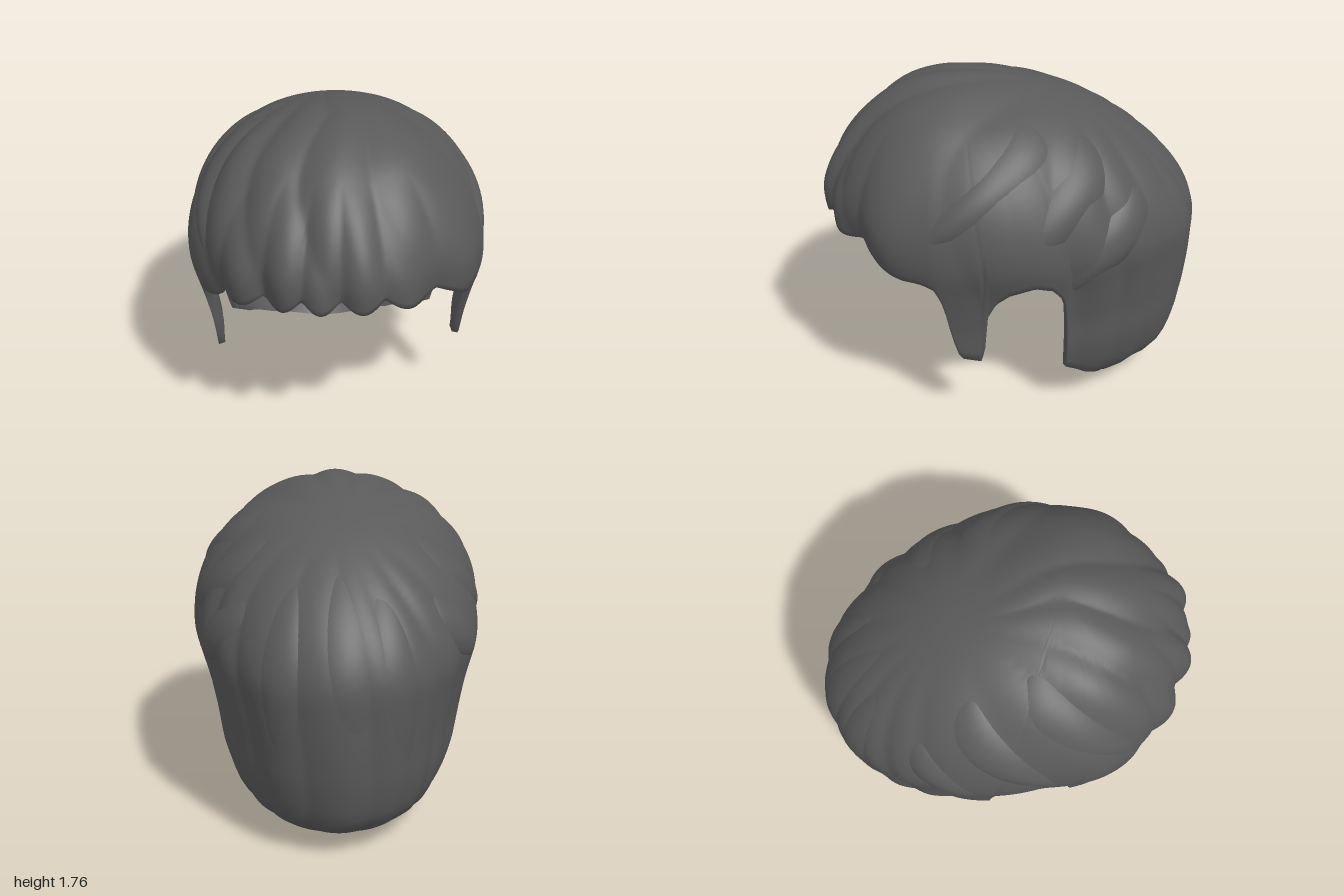
import * as THREE from 'three';
import { mergeVertices } from 'three/addons/utils/BufferGeometryUtils.js';

const TOP = 1.757, COLS = 320, ROWS = 54;

// Smooth interpolation through knots [key, value...] in column c
function curve(knots, u, c) {
  let i = 0;
  while (i < knots.length - 2 && u > knots[i + 1][0]) i++;
  const k = (n) => knots[Math.min(Math.max(n, 0), knots.length - 1)];
  const slope = (n) => (k(n + 1)[c] - k(n - 1)[c]) / (k(n + 1)[0] - k(n - 1)[0]);
  const h = k(i + 1)[0] - k(i)[0], t = Math.min((u - k(i)[0]) / h, 1);
  const a = t * t * (3 - 2 * t), b = t * (1 - t) * (1 - t), d = t * t * (t - 1);
  return k(i)[c] * (1 - a) + k(i + 1)[c] * a + h * (b * slope(i) + d * slope(i + 1));
}

// Head shape: height, front reach, back reach, half width
const RINGS = [
  [1.757, 0.26, 0.26, 0], [1.7, 0.53, -0.1, 0.27], [1.6, 0.7, -0.38, 0.475],
  [1.4, 0.885, -0.7, 0.66], [1.2, 0.98, -0.885, 0.75], [1.0, 1.0, -0.98, 0.77],
  [0.8, 0.99, -0.99, 0.72], [0.6, 0.98, -0.98, 0.675], [0.4, 0.95, -0.95, 0.65],
  [0.2, 0.88, -0.88, 0.58], [0.1, 0.75, -0.75, 0.5], [0, 0.58, -0.58, 0.4],
].map(([y, f, b, w]) => [Math.sqrt(TOP - y), f, b, w]);

// Hem height by depth: fringe, sideburn, ear opening, nape
const HEM = [
  [1, 1.06], [0.75, 1.0], [0.6, 0.92], [0.45, 0.88], [0.41, 0.77], [0.37, 0.55],
  [0.34, 0.43], [0.22, 0.4], [0.2, 0.68], [0.15, 0.79], [0.08, 0.85], [-0.05, 0.89],
  [-0.14, 0.86], [-0.2, 0.78], [-0.23, 0.68], [-0.24, 0.3], [-0.4, 0.2], [-0.65, 0.1], [-1, 0],
];

const clamp = (x) => Math.min(1, Math.max(0, x));
const fringe = (a) => clamp((Math.cos(a) - 0.45) * 5);

function hem(a) {
  const z = Math.cos(a);
  let i = 0;
  while (i < HEM.length - 2 && z < HEM[i + 1][0]) i++;
  const [z0, y0] = HEM[i], [z1, y1] = HEM[i + 1];
  const y = y0 + (y1 - y0) * (z - z0) / (z1 - z0);
  return y + 0.07 * (0.6 - strand(a, 9)) * fringe(a);
}

// Rounded, uneven strands with valleys between them
function strand(b, n) {
  const s = Math.sin(n * b + 0.9 * Math.sin(3 * b + 1) + 0.7 * Math.sin(2 * b));
  return Math.sqrt(s * s + 0.01);
}

// Point on the head at angle a and drop u, moved outward by lift
function surface(a, u, lift) {
  const f = curve(RINGS, u, 1), b = curve(RINGS, u, 2), w = curve(RINGS, u, 3);
  const c = Math.cos(a), s = Math.sin(a);
  const fuller = 1 + (c > 0 ? 0.18 : 0.07) * c * s * s;   // widest ahead of the middle
  const p = new THREE.Vector3(w * s * fuller, TOP - u * u, (f + b) / 2 + (f - b) / 2 * c);
  const out = new THREE.Vector3(p.x, Math.max(0, p.y - 0.8), p.z).normalize();
  return p.addScaledVector(out, lift);
}

// Strand relief: waves from the whorl, tufts at the fringe
function relief(a, u, s) {
  const p = surface(a, u, 0);
  const r = Math.hypot(p.x, p.z + 0.3);
  const around = Math.atan2(p.x, p.z + 0.3) + 0.15 * Math.sin(4 * u);
  const waves = 0.03 * clamp((r - 0.2) / 0.7) * (strand(around, 7) - 0.66);
  const tufts = 0.035 * clamp((s - 0.5) * 2.5) * fringe(a) * (strand(a, 9) - 0.66);
  return waves + tufts;
}

// Triangles over a grid of points
function gridGeometry(cols, rows, at) {
  const pos = [], idx = [];
  for (let i = 0; i <= cols; i++)
    for (let j = 0; j <= rows; j++) {
      const p = at(i, j);
      pos.push(p.x, p.y, p.z);
      if (i < cols && j < rows) {
        const n = i * (rows + 1) + j, m = n + rows + 1;
        idx.push(n, n + 1, m, m, n + 1, m + 1);
      }
    }
  const g = new THREE.BufferGeometry();
  g.setAttribute('position', new THREE.Float32BufferAttribute(pos, 3));
  g.setIndex(idx);
  const merged = mergeVertices(g, 1e-5);
  merged.computeVertexNormals();
  return merged;
}

// Tapered lock lying on the head, from (a0, y0) to (a1, y1)
function lockGeometry(a0, y0, a1, y1, width, height) {
  const u0 = Math.sqrt(TOP - y0), u1 = Math.sqrt(TOP - y1);
  return gridGeometry(14, 30, (i, j) => {
    const t = j / 30, v = i / 7 - 1;
    const u = u0 + (u1 - u0) * t;
    const taper = Math.pow(Math.max(0, Math.sin(Math.PI * t)), 0.75);
    const a = a0 + (a1 - a0) * Math.pow(t, 1.3) + v * width * taper / Math.max(0.35, curve(RINGS, u, 3));
    return surface(a, u, -0.02 + (height + 0.02) * (1 - v * v) * taper);
  });
}

export function createModel() {
  const group = new THREE.Group();
  group.name = 'hair';
  const material = new THREE.MeshStandardMaterial({ color: 0x5a5a5a, side: THREE.DoubleSide });
  const add = (geometry, name) => {
    const mesh = new THREE.Mesh(geometry, material);
    mesh.name = name;
    group.add(mesh);
  };

  // Hollow shell: outer strands down to the hem, smooth lining back up
  add(gridGeometry(COLS, 2 * ROWS + 1, (i, j) => {
    const a = (i % COLS) / COLS * Math.PI * 2;
    const outer = j <= ROWS;
    const s = (outer ? j : 2 * ROWS + 1 - j) / ROWS;
    const u = s * Math.sqrt(TOP - hem(a));
    const edge = Math.pow(clamp((s - 0.86) / 0.14), 2);
    const curl = -0.02 * edge * fringe(a);
    return surface(a, u, outer ? relief(a, u, s) + curl : -0.055 + 0.025 * edge * (1 - fringe(a)));
  }), 'hairShell');

  // Locks: start angle, start height, end angle, end height, half width, height
  const locks = {
    sideLock: [
      [2.1, 1.69, 1.0, 1.1, 0.17, 0.016], [2.4, 1.6, 1.5, 1.0, 0.16, 0.016],
      [-1.9, 1.69, -1.0, 1.1, 0.17, 0.016], [-2.35, 1.6, -1.45, 1.0, 0.16, 0.018],
      [-2.4, 1.35, -1.76, 0.8, 0.15, 0.022], [2.4, 1.35, 1.8, 0.8, 0.15, 0.022],
    ],
    backLock: [
      [3.14, 1.55, 3.2, 0.4, 0.17, 0.012], [2.8, 1.5, 2.6, 0.25, 0.15, 0.014],
      [3.45, 1.5, 3.65, 0.25, 0.15, 0.014],
    ],
  };
  for (const [name, list] of Object.entries(locks))
    list.forEach((l, i) => add(lockGeometry(...l), name + (i + 1)));

  return group;
}
